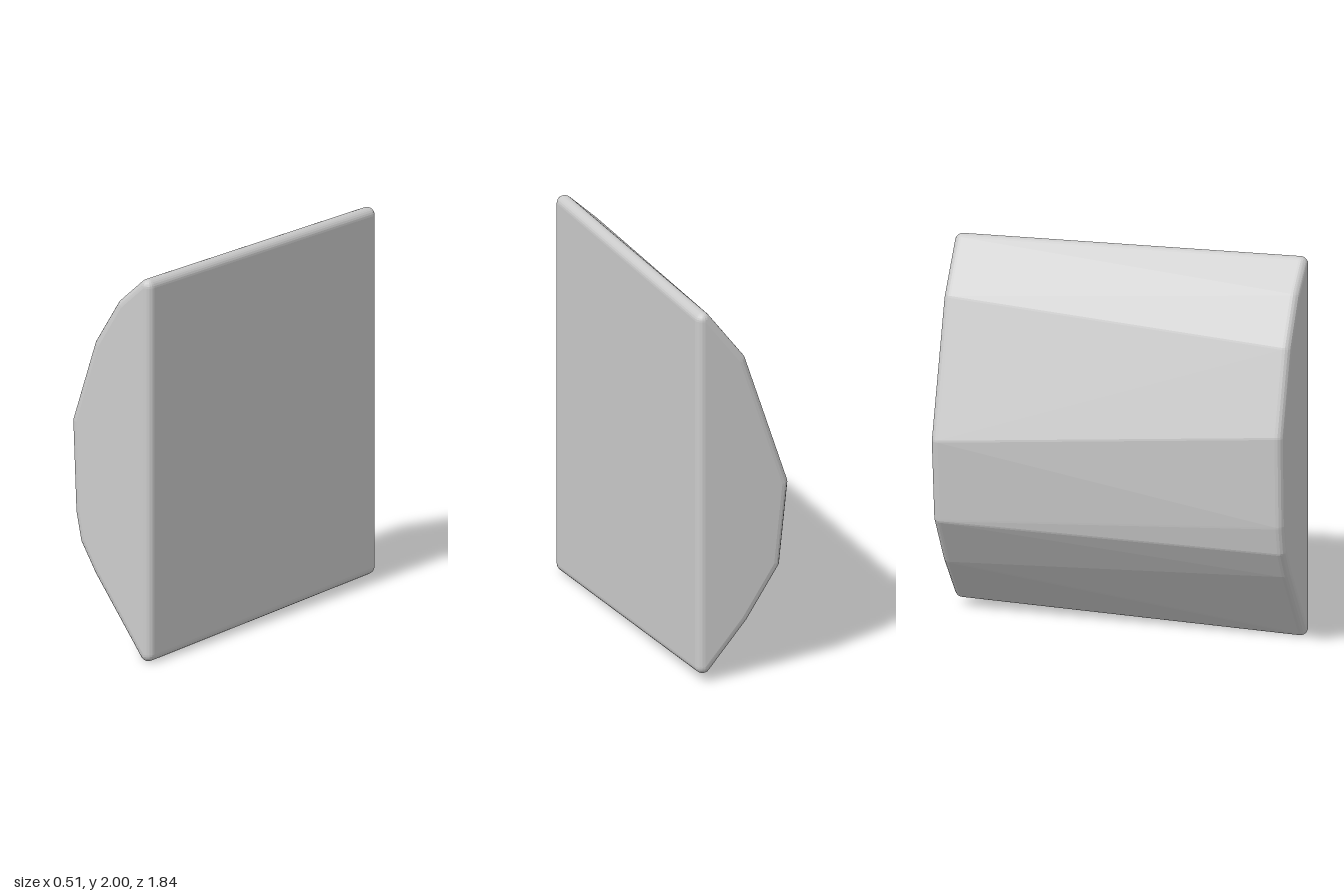
import * as THREE from 'three';
import { ConvexGeometry } from 'three/addons/geometries/ConvexGeometry.js';

const EDGE = 0.04; // radius of the rounded edges

// Corner centres [x, y] of the two end sections, from the top round the bulge to the bottom
const frontSection = [
  [0.215, 1.96], [0.07, 1.83], [-0.075, 1.6], [-0.215, 1.18],
  [-0.195, 0.71], [-0.165, 0.57], [-0.08, 0.43], [0.215, 0.04],
];
const backSection = [
  [0.215, 1.92], [0.025, 1.68], [-0.205, 1.0], [-0.16, 0.58],
  [0.01, 0.32], [0.215, 0.08],
];

// Unit directions that round off every corner
function roundingDirections() {
  const pos = new THREE.SphereGeometry(1, 16, 12).getAttribute('position');
  const dirs = new Map();
  for (let i = 0; i < pos.count; i++) {
    const v = new THREE.Vector3().fromBufferAttribute(pos, i);
    dirs.set(v.toArray().map((n) => Math.round(n * 1000)).join(), v);
  }
  return [...dirs.values()];
}

export function createModel() {
  const group = new THREE.Group();
  const dirs = roundingDirections();
  const points = [];

  // Small ball of points at each corner; their hull is the round-edged block
  for (const [section, z] of [[frontSection, 0.88], [backSection, -0.88]]) {
    for (const [x, y] of section) {
      const centre = new THREE.Vector3(x, y, z);
      for (const d of dirs) points.push(centre.clone().addScaledVector(d, EDGE));
    }
  }

  const block = new THREE.Mesh(
    new ConvexGeometry(points),
    new THREE.MeshStandardMaterial({ color: 0xcccccc }),
  );
  block.name = 'facetedBlock';
  group.add(block);
  return group;
}
